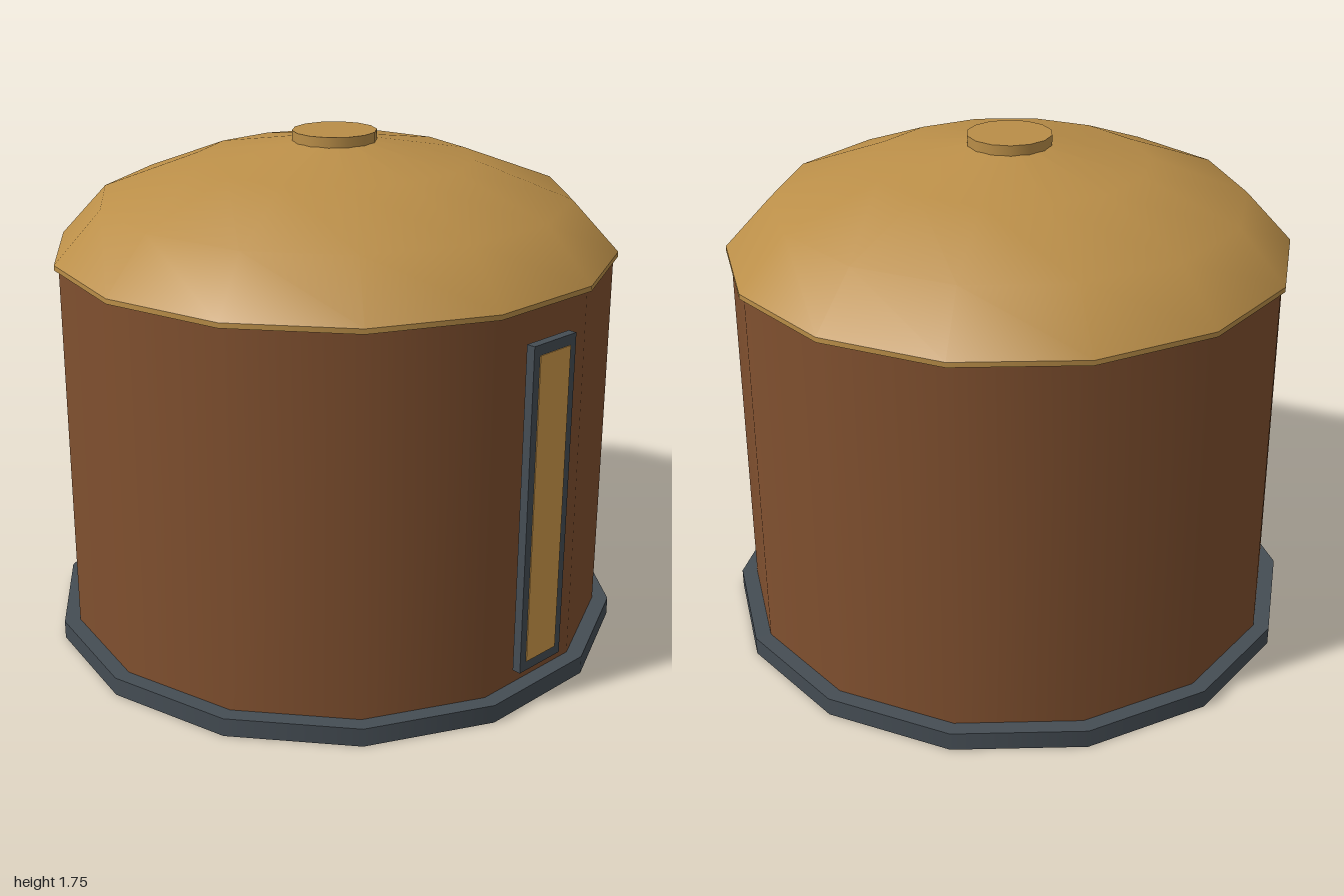
import * as THREE from 'three';

const SIDES = 14;

export function createModel() {
  const model = new THREE.Group();
  const mat = (name, color) => {
    const m = new THREE.MeshStandardMaterial({ color });
    m.name = name;
    return m;
  };
  const brown = mat('brown wall', 0x80502f);
  const ochre = mat('ochre roof', 0xba8e48);
  const amber = mat('amber pane', 0xd09a4a);
  const grey = mat('slate grey', 0x454d54);

  const add = (name, geometry, material) => {
    const mesh = new THREE.Mesh(geometry, material);
    mesh.name = name;
    model.add(mesh);
    return mesh;
  };
  // Smooth-shaded prism with corners on the x axis
  const drum = (name, radius, y0, y1, material, start = Math.PI / 2) =>
    add(name, new THREE.CylinderGeometry(radius, radius, y1 - y0, SIDES, 1, false, start), material)
      .position.set(0, (y0 + y1) / 2, 0);
  const box = (name, x0, x1, y0, y1, z0, z1, material) =>
    add(name, new THREE.BoxGeometry(x1 - x0, y1 - y0, z1 - z0), material)
      .position.set((x0 + x1) / 2, (y0 + y1) / 2, (z0 + z1) / 2);

  // Base, wall and roof rim
  drum('base', 1, 0, 0.063, grey);
  drum('wall', 0.945, 0.063, 1.35, brown);
  drum('roofRim', 0.96, 1.345, 1.362, ochre);

  // Shallow domed roof
  const profile = [[0.96, 1.362], [0.8, 1.535], [0.47, 1.66], [0, 1.74]]
    .map(([x, y]) => new THREE.Vector2(x, y));
  add('roofDome', new THREE.LatheGeometry(profile, SIDES, Math.PI / 2), ochre);
  drum('roofCap', 0.143, 1.715, 1.75, ochre, 0);

  // Tall narrow window standing just off the wall
  box('windowFrame', -0.1, 0.1, 0.128, 1.245, 0.942, 0.972, grey);
  box('windowPane', -0.072, 0.072, 0.162, 1.21, 0.968, 0.975, amber);

  return model;
}
